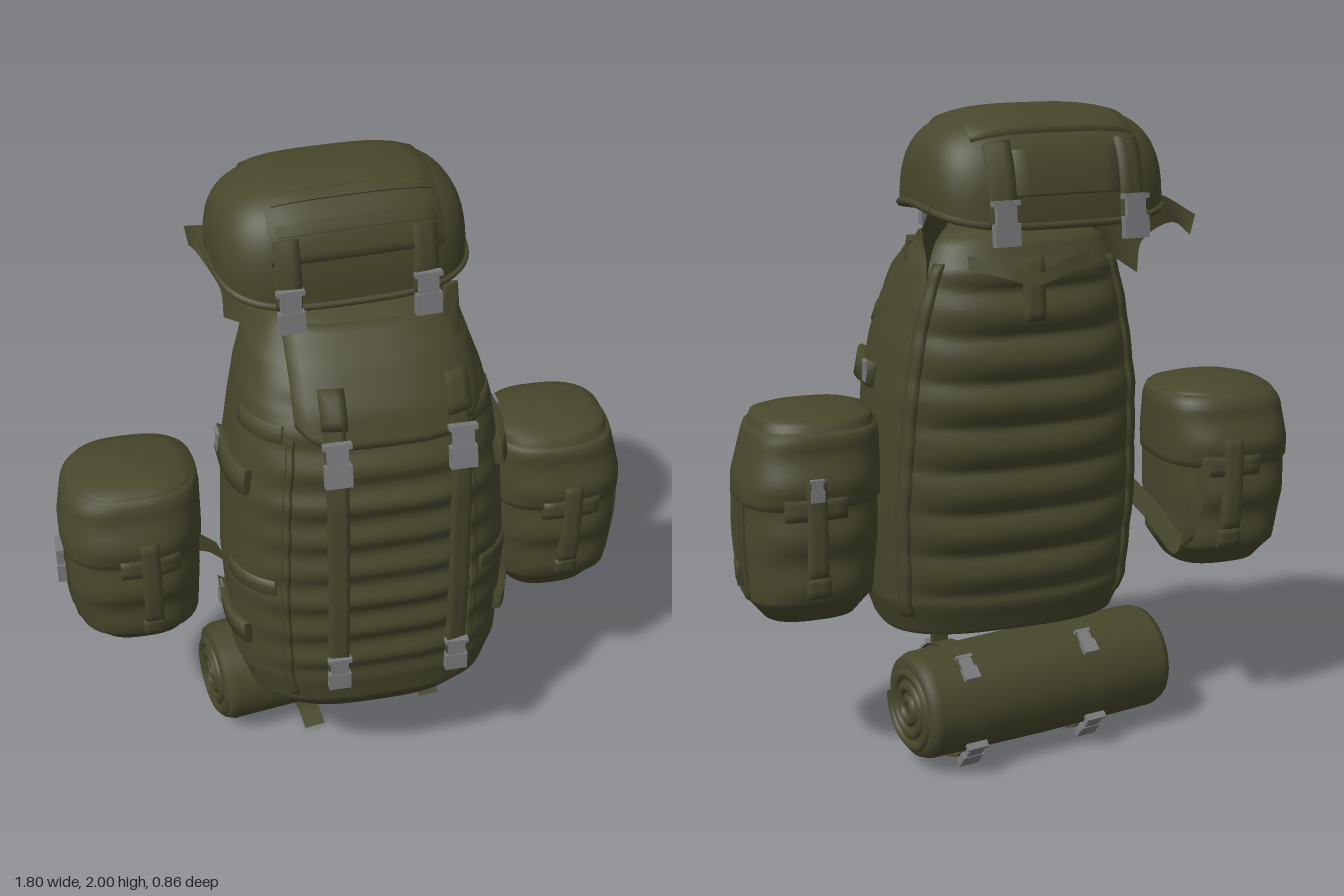
import * as THREE from 'three';

const olive = new THREE.MeshStandardMaterial({ color: 0x47472c, side: THREE.DoubleSide });
olive.name = 'olive canvas';
const grey = new THREE.MeshStandardMaterial({ color: 0x7a7a7d });
grey.name = 'grey buckle';

const spow = (v, e) => Math.sign(v) * Math.pow(Math.abs(v), e);
const lerp = THREE.MathUtils.lerp;

// Smooth grid surface from fn(i, j); closed joins the last column to the first
function grid(nu, nv, fn, closed = false) {
  const pos = [], idx = [], cols = closed ? nu : nu + 1;
  for (let j = 0; j <= nv; j++) for (let i = 0; i < cols; i++) pos.push(...fn(i, j));
  for (let j = 0; j < nv; j++) for (let i = 0; i < nu; i++) {
    const a = j * cols + i, b = j * cols + (i + 1) % cols;
    idx.push(a, a + cols, b, b, a + cols, b + cols);
  }
  const g = new THREE.BufferGeometry();
  g.setAttribute('position', new THREE.Float32BufferAttribute(pos, 3));
  g.setIndex(idx);
  g.computeVertexNormals();
  return g;
}

// Raised patch: fn(u, v, offset), with its border tucked into the surface below
function patch(fn, nu, nv, t) {
  return grid(nu + 2, nv + 2, (i, j) => {
    const edge = i === 0 || j === 0 || i === nu + 2 || j === nv + 2;
    const u = THREE.MathUtils.clamp((i - 1) / nu, 0, 1), v = THREE.MathUtils.clamp((j - 1) / nv, 0, 1);
    return fn(u, v, edge ? -0.012 : t);
  });
}

// Soft bag built from rows [y, x0, x1, z0, z1] with rounded-square cross-sections
function bag(rows, n, ripple) {
  const at = y => {
    let k = 0;
    while (k < rows.length - 2 && y > rows[k + 1][0]) k++;
    const a = rows[k], b = rows[k + 1], t = THREE.MathUtils.clamp((y - a[0]) / (b[0] - a[0]), 0, 1);
    const [x0, x1, z0, z1] = [1, 2, 3, 4].map(i => lerp(a[i], b[i], t));
    return { cx: (x0 + x1) / 2, cz: (z0 + z1) / 2, hw: (x1 - x0) / 2, hd: (z1 - z0) / 2 };
  };
  const ring = (y, phi, off = 0) => {
    const r = at(y), s = Math.sin(phi), c = Math.cos(phi), w = ripple(y, s) * Math.min(1, r.hd * 8);
    return [r.cx + (r.hw + off) * spow(c, 2 / n), y + off * 0.5, r.cz + (r.hd + off + w) * spow(s, 2 / n)];
  };
  // Point on the front (+1) or back (-1), bridging the ripples
  const face = (x, y, side, off = 0) => {
    const r = at(y), c = Math.min(1, Math.abs((x - r.cx) / r.hw));
    return [x, y + off * 0.5, r.cz + side * (r.hd * Math.pow(1 - c ** n, 1 / n) + off)];
  };
  const ys = [];
  for (let k = 0; k < rows.length - 1; k++) {
    const m = Math.ceil((rows[k + 1][0] - rows[k][0]) / 0.012);
    for (let i = 0; i < m; i++) ys.push(lerp(rows[k][0], rows[k + 1][0], i / m));
  }
  ys.push(rows[rows.length - 1][0]);
  const geometry = grid(64, ys.length - 1, (i, j) => ring(ys[j], i / 64 * Math.PI * 2), true);
  return { geometry, ring, face };
}

export function createModel() {
  const root = new THREE.Group();
  const add = (name, geo, mat = olive, parent = root) => {
    const m = new THREE.Mesh(geo, mat);
    m.name = name;
    parent.add(m);
    return m;
  };
  const box = (name, w, h, d, p, mat, parent) =>
    add(name, new THREE.BoxGeometry(w, h, d), mat, parent).position.set(...p);
  // Side-release buckle: body, clip and crossbar
  const buckle = (p, s = 1, ry = 0, rx = 0, parent = root) => {
    const g = new THREE.Group();
    g.name = 'buckle';
    box('buckleBody', 0.072, 0.06, 0.026, [0, -0.025, 0], grey, g);
    box('buckleClip', 0.056, 0.05, 0.02, [0, 0.03, 0], grey, g);
    box('buckleBar', 0.076, 0.014, 0.024, [0, 0.058, 0], grey, g);
    g.position.set(...p);
    g.rotation.set(rx, ry, 0);
    g.scale.setScalar(s);
    parent.add(g);
  };
  // Flat panel or strap laid on the front (+1) or back (-1) of a bag
  const panel = (name, b, x0, x1, y0, y1, side, t, nu = 4, nv = 40) =>
    add(name, patch((u, v, o) => b.face(lerp(x0, x1, u), lerp(y0, y1, v), side, o), nu, nv, t));
  const band = (name, b, y, h, a0, a1, t) =>
    add(name, patch((u, v, o) => b.ring(y + (v - 0.5) * h, lerp(a0, a1, u), o), 24, 2, t));
  // Loose ribbon between two rails
  const ribbon = (name, railA, railB, parent = root) => {
    const [a, b] = [railA, railB].map(r => new THREE.CatmullRomCurve3(r.map(p => new THREE.Vector3(...p))));
    add(name, grid(3, 16, (i, j) => a.getPoint(j / 16).lerp(b.getPoint(j / 16), i / 3).toArray()), olive, parent);
  };

  // Main sack, with quilted ribs on front and back
  const body = bag([
    [0.33, 0.04, 0.04, 0.15, 0.15], [0.34, -0.25, 0.34, 0, 0.33], [0.39, -0.335, 0.425, -0.15, 0.36],
    [0.5, -0.375, 0.465, -0.19, 0.375], [0.8, -0.39, 0.48, -0.23, 0.385], [1.15, -0.37, 0.455, -0.265, 0.375],
    [1.3, -0.345, 0.43, -0.265, 0.35], [1.42, -0.32, 0.4, -0.26, 0.3], [1.53, -0.285, 0.36, -0.25, 0.215],
    [1.61, -0.23, 0.31, -0.215, 0.12], [1.645, -0.16, 0.24, -0.17, 0.04], [1.66, 0.04, 0.04, -0.06, -0.06]
  ], 2.9, (y, s) => {
    if (y < 0.45 || y > 1.56) return 0;
    const fade = Math.min(1, (y - 0.45) / 0.1, (1.56 - y) / 0.1) * s * s;
    return fade * (s > 0 ? 0.009 * Math.cos(y * 55) : 0.026 * Math.abs(Math.sin((y + 0.03 * s * s) * 23)) - 0.018);
  });
  add('mainSack', body.geometry);
  // Front flap, narrowing towards its rounded lower edge
  add('frontFlap', patch((u, v, o) => {
    const q = 2 * u - 1, y0 = 1.325 + 0.06 * q ** 6;
    return body.face(0.08 + 0.275 * q, lerp(y0, 1.61, v), 1, o);
  }, 16, 16, 0.016));
  for (const x of [-0.09, 0.28]) {
    panel('frontStrap', body, x - 0.03, x + 0.03, 0.46, 1.47, 1, 0.026);
    panel('strapTop', body, x - 0.036, x + 0.036, 1.38, 1.48, 1, 0.036, 3, 4);
    buckle([x, 1.3, body.face(x, 1.3, 1, 0.035)[2]], 1.1, 0, -0.2);
    buckle([x, 0.54, body.face(x, 0.54, 1, 0.03)[2]], 0.95);
  }
  // Compression straps, webbing and seams on both sides
  for (const flip of [false, true]) {
    const a = v => flip ? Math.PI - v : v;
    for (const y of [0.64, 1.19]) {
      band('compressionStrap', body, y, 0.075, a(-0.06), a(0.55), 0.022);
      buckle(body.ring(y, a(-0.01), 0.02), 0.55, Math.PI / 2);
    }
    for (const y of [0.85, 1.36]) band('sideWebbing', body, y, 0.05, a(0.2), a(0.9), 0.004);
    add('sideSeam', patch((u, v, o) => body.ring(lerp(0.45, 1.55, v), a(-0.75 + 0.16 * u), o), 3, 60, 0.008));
    add('frontSeam', patch((u, v, o) => body.ring(lerp(0.42, 1.35, v), a(0.95 + 0.08 * u), o), 3, 60, 0.006));
  }
  // Haul handle and hanging tab on the back
  panel('hangingTab', body, 0.01, 0.07, 1.38, 1.56, -1, 0.02, 3, 8);
  const loop = [[-0.15, 1.58, -0.22], [-0.04, 1.55, -0.26], [0.04, 1.53, -0.27], [0.12, 1.55, -0.26], [0.23, 1.58, -0.22]];
  ribbon('haulHandle', loop, loop.map(([x, y, z]) => [x, y - 0.04, z - 0.012]));

  // Raised lid: half of a rounded box shape, open underneath with an arched edge
  const lid = new THREE.Group();
  lid.name = 'lid';
  lid.position.set(0.005, 1.68, -0.135);
  lid.rotation.y = 0.07;
  root.add(lid);
  const A = 0.37, B = 0.26, C = 0.31, N = 3.4, M = 2.5;
  const arch = (y, z) => y + 0.05 * (1 - Math.min(1, Math.abs(z / B)) ** 2) * Math.max(0, 1 - y / C);
  const lidPoint = (x, th, off = 0) => {
    const k = Math.pow(Math.max(0, 1 - Math.abs(x / A) ** N), 1 / N);
    const y = (C * k + off) * spow(Math.sin(th), 2 / M), z = (B * k + off) * spow(Math.cos(th), 2 / M);
    return [x, arch(y, z), z];
  };
  add('lidShell', grid(40, 32, (i, j) =>
    lidPoint(A * Math.sin((i / 40 - 0.5) * Math.PI), j / 32 * Math.PI)), olive, lid);
  const strip = (name, x0, x1, a0, a1, t, nu) =>
    add(name, patch((u, v, o) => lidPoint(lerp(x0, x1, u), lerp(a0, a1, v), o), nu, 24, t), olive, lid);
  strip('lidPocket', -0.24, 0.26, 0.35, 2.3, 0.008, 12);
  strip('pocketZipCover', -0.22, 0.24, 0.62, 0.74, 0.014, 12);
  strip('pocketRidge', -0.22, 0.24, 1.0, 1.15, 0.012, 12);
  strip('backPanel', -0.16, 0.16, 2.5, 2.95, 0.008, 8);
  for (const x of [-0.2, 0.2]) {
    strip('lidFrontStrap', x - 0.036, x + 0.036, 0, 0.6, 0.016, 3);
    strip('lidBackStrap', x - 0.036, x + 0.036, 2.4, Math.PI, 0.016, 3);
    buckle([x, 0.0, 0.278], 1.05, 0, -0.12, lid);
    buckle([x, 0.01, -0.278], 1.05, Math.PI, 0.1, lid);
  }
  const rim = [];
  for (let i = 0; i < 40; i++) {
    const a = i / 40 * Math.PI * 2, z = B * spow(Math.sin(a), 2 / N);
    rim.push(new THREE.Vector3(A * spow(Math.cos(a), 2 / N), arch(0, z), z));
  }
  add('lidRim', new THREE.TubeGeometry(new THREE.CatmullRomCurve3(rim, true), 80, 0.011, 6, true), olive, lid);

  // Flared collar flaps joining the sack to the lid
  for (const s of [1, -1]) {
    const side = pts => pts.map(([x, y, z]) => [s * x + 0.01, y, z]);
    ribbon('collarFlap',
      side([[0.27, 1.55, -0.01], [0.23, 1.64, -0.06], [0.26, 1.72, -0.16], [0.34, 1.74, -0.28], [0.41, 1.69, -0.4]]),
      side([[0.33, 1.49, -0.18], [0.335, 1.58, -0.19], [0.36, 1.625, -0.23], [0.39, 1.655, -0.3], [0.4, 1.63, -0.39]]));
  }

  // Side pouches with hoods, straps and tabs
  const pouchRows = [
    [[0.5, 0.69, 0.69, -0.04, -0.04], [0.51, 0.55, 0.83, -0.17, 0.08], [0.58, 0.5, 0.885, -0.235, 0.135],
      [0.75, 0.48, 0.895, -0.245, 0.16], [0.93, 0.475, 0.89, -0.24, 0.16], [1.06, 0.475, 0.855, -0.22, 0.145],
      [1.12, 0.485, 0.835, -0.185, 0.11], [1.14, 0.54, 0.79, -0.13, 0.05], [1.15, 0.68, 0.68, -0.04, -0.04]],
    [[0.52, -0.66, -0.66, -0.03, -0.03], [0.53, -0.79, -0.51, -0.18, 0.1], [0.6, -0.845, -0.465, -0.235, 0.16],
      [0.75, -0.87, -0.455, -0.255, 0.185], [0.93, -0.87, -0.45, -0.255, 0.18], [1.05, -0.85, -0.45, -0.23, 0.155],
      [1.1, -0.815, -0.465, -0.185, 0.12], [1.12, -0.74, -0.52, -0.13, 0.06], [1.13, -0.66, -0.66, -0.03, -0.03]]
  ];
  pouchRows.forEach((rows, k) => {
    const cx = k ? -0.62 : 0.7, mid = k ? Math.PI : 0;
    const p = bag(rows, 2.7, (y, q) => 0.007 * Math.cos(y * 40) * q * q);
    add('sidePouch', p.geometry);
    add('pouchHood', grid(64, 16, (i, j) =>
      p.ring(lerp(0.86, 1.1, j / 16), i / 64 * Math.PI * 2, j % 16 ? 0.007 : -0.01), true));
    for (const side of [1, -1]) {
      panel('pouchStrap', p, cx - 0.028, cx + 0.028, 0.66, 0.95, side, 0.028, 3, 12);
      panel('pouchCrossTab', p, cx - 0.09, cx + 0.09, 0.84, 0.9, side, 0.019, 6, 3);
      panel('pouchTab', p, cx - 0.035, cx + 0.035, 0.6, 0.66, side, 0.024, 3, 3);
    }
    // Outer face webbing
    for (const d of [-0.25, 0.25])
      add('outerWebbing', patch((u, v, o) => p.ring(lerp(0.58, 0.95, v), mid + d + (u - 0.5) * 0.14, o), 3, 12, 0.007));
    band('outerTab', p, 0.64, 0.06, mid - 0.08, mid + 0.08, 0.012);
    if (k) buckle([-0.882, 0.83, 0.04], 1, -Math.PI / 2);
    else buckle(p.face(cx, 0.92, -1, 0.032), 0.55, Math.PI);
  });

  // Loose strap hanging beside the right pouch
  const loose = [[-0.4, 0.79, 0], [-0.44, 0.72, -0.15], [-0.47, 0.65, -0.28], [-0.48, 0.76, -0.33], [-0.5, 0.95, -0.37]];
  ribbon('looseStrap', loose, loose.map(([x, y, z]) => [x + 0.03, y - 0.05, z + 0.045]));

  // Rolled sleeping mat with spiral ends
  const roll = new THREE.Group();
  roll.name = 'bedroll';
  roll.position.set(-0.005, 0.2, -0.125);
  roll.rotation.y = 0.17;
  root.add(roll);
  const half = 0.43, R = 0.165;
  const profile = [[0, -half], [0.13, -half], [0.155, -half + 0.01], [R, -half + 0.035], [R + 0.005, 0],
    [R, half - 0.035], [0.155, half - 0.01], [0.13, half], [0, half]].map(p => new THREE.Vector2(...p));
  add('rolledMat', new THREE.LatheGeometry(profile, 40), olive, roll).rotation.z = -Math.PI / 2;
  for (const s of [1, -1]) {
    const pts = [];
    for (let i = 0; i <= 60; i++) {
      const t = i / 60, a = t * Math.PI * 6, r = 0.015 + 0.12 * t;
      pts.push(new THREE.Vector3(s * (half - 0.006 * t), r * Math.sin(a), r * Math.cos(a)));
    }
    add('rollSpiral', new THREE.TubeGeometry(new THREE.CatmullRomCurve3(pts), 120, 0.017, 6), olive, roll);
  }
  for (const x of [-0.13, 0.29]) {
    const strap = add('rollStrap', new THREE.CylinderGeometry(R + 0.013, R + 0.013, 0.065, 36, 1, true), olive, roll);
    strap.rotation.z = Math.PI / 2;
    strap.position.x = x;
    const tail = [[x - 0.035, -0.16, -0.04], [x - 0.035, -0.175, 0.04], [x - 0.035, -0.17, 0.1], [x - 0.035, -0.198, 0.17]];
    ribbon('strapTail', tail, tail.map(p => [p[0] + 0.07, p[1], p[2]]), roll);
    buckle([x, 0.125, 0.135], 0.7, 0, -0.8, roll);
    buckle([x, -0.13, -0.14], 0.9, Math.PI, -0.7, roll);
    buckle([x, 0.14, -0.12], 0.7, Math.PI, 0.9, roll);
    box('rollHanger', 0.05, 0.12, 0.02, [x, 0.18, 0.07], olive, roll);
  }
  return root;
}
